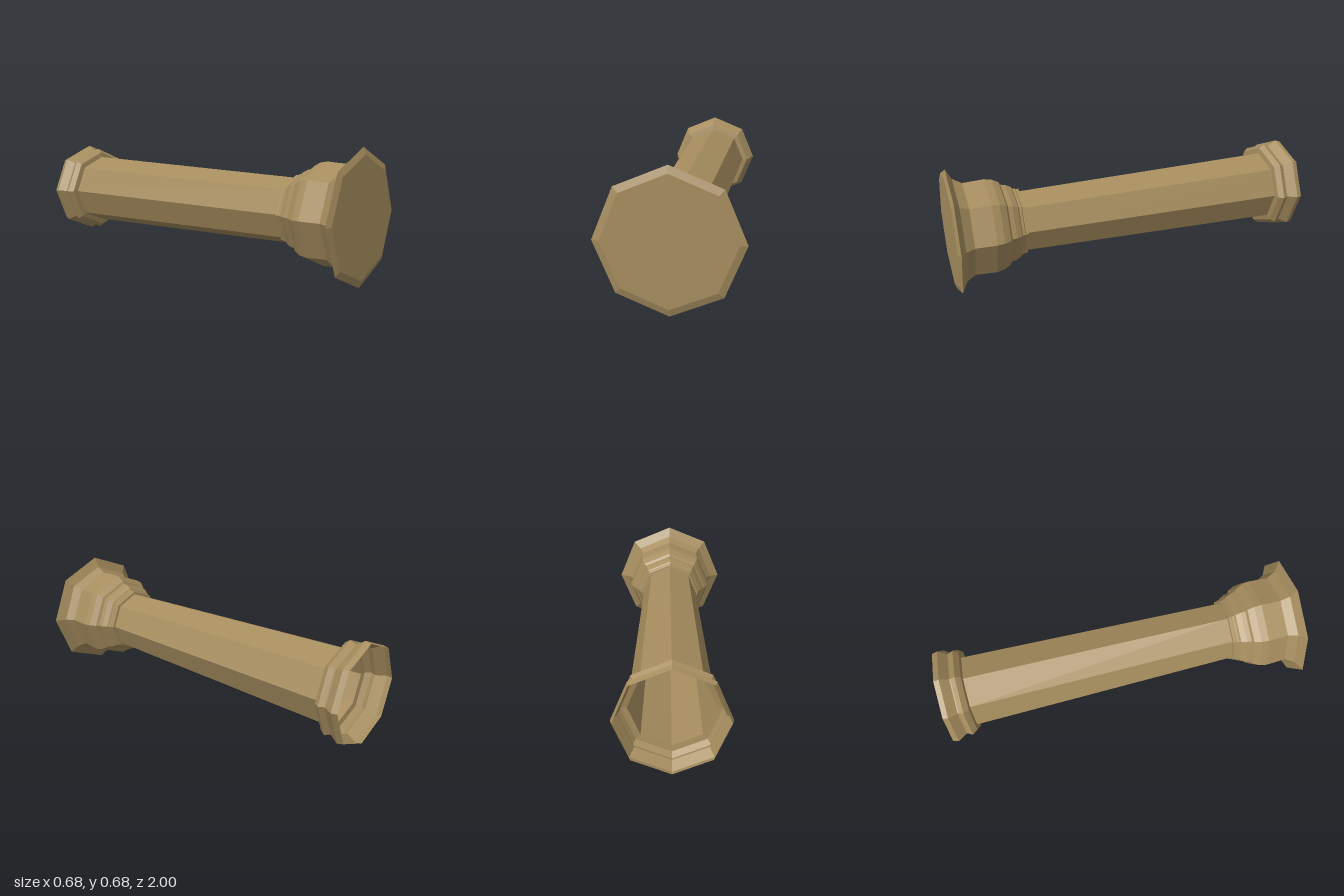
import * as THREE from 'three';

const AXIS_HEIGHT = 0.342;

// Eight-sided flat-faced ring surface; profile is a list of [radius, z], back to front
function octagonal(name, profile, material) {
  const points = profile.map(([r, z]) => new THREE.Vector2(r, z));
  const indexed = new THREE.LatheGeometry(points, 8);
  indexed.rotateX(Math.PI / 2);
  const geometry = indexed.toNonIndexed();
  geometry.computeVertexNormals();
  const mesh = new THREE.Mesh(geometry, material);
  mesh.name = name;
  return mesh;
}

export function createModel() {
  const bronze = new THREE.MeshStandardMaterial({ color: 0xa68d5e, side: THREE.DoubleSide });
  bronze.name = 'bronze';

  const column = new THREE.Group();
  column.name = 'column';
  column.position.y = AXIS_HEIGHT;

  // Open moulded collar at the back end
  column.add(octagonal('openCollar', [
    [0.264, -1], [0.272, -0.97], [0.242, -0.922], [0.242, -0.915],
    [0.256, -0.89], [0.235, -0.862], [0.204, -0.857],
  ], bronze));

  // Long hollow shaft, narrowing towards the base
  column.add(octagonal('shaft', [[0.204, -0.857], [0.17, 0.62]], bronze));

  // Stepped neck rings between shaft and base
  column.add(octagonal('neckRings', [
    [0.17, 0.62], [0.185, 0.623], [0.185, 0.638], [0.19, 0.642],
    [0.191, 0.655], [0.2, 0.662], [0.215, 0.69], [0.22, 0.715],
  ], bronze));

  // Bulging base that flares to a wide rim
  column.add(octagonal('base', [
    [0.22, 0.715], [0.235, 0.725], [0.255, 0.76], [0.262, 0.8],
    [0.256, 0.91], [0.285, 0.958], [0.341, 0.988],
  ], bronze));

  // Bevelled rim and closed front face
  column.add(octagonal('frontCap', [[0.341, 0.988], [0.305, 1], [0, 1]], bronze));

  const model = new THREE.Group();
  model.name = 'octagonalColumn';
  model.add(column);
  return model;
}
